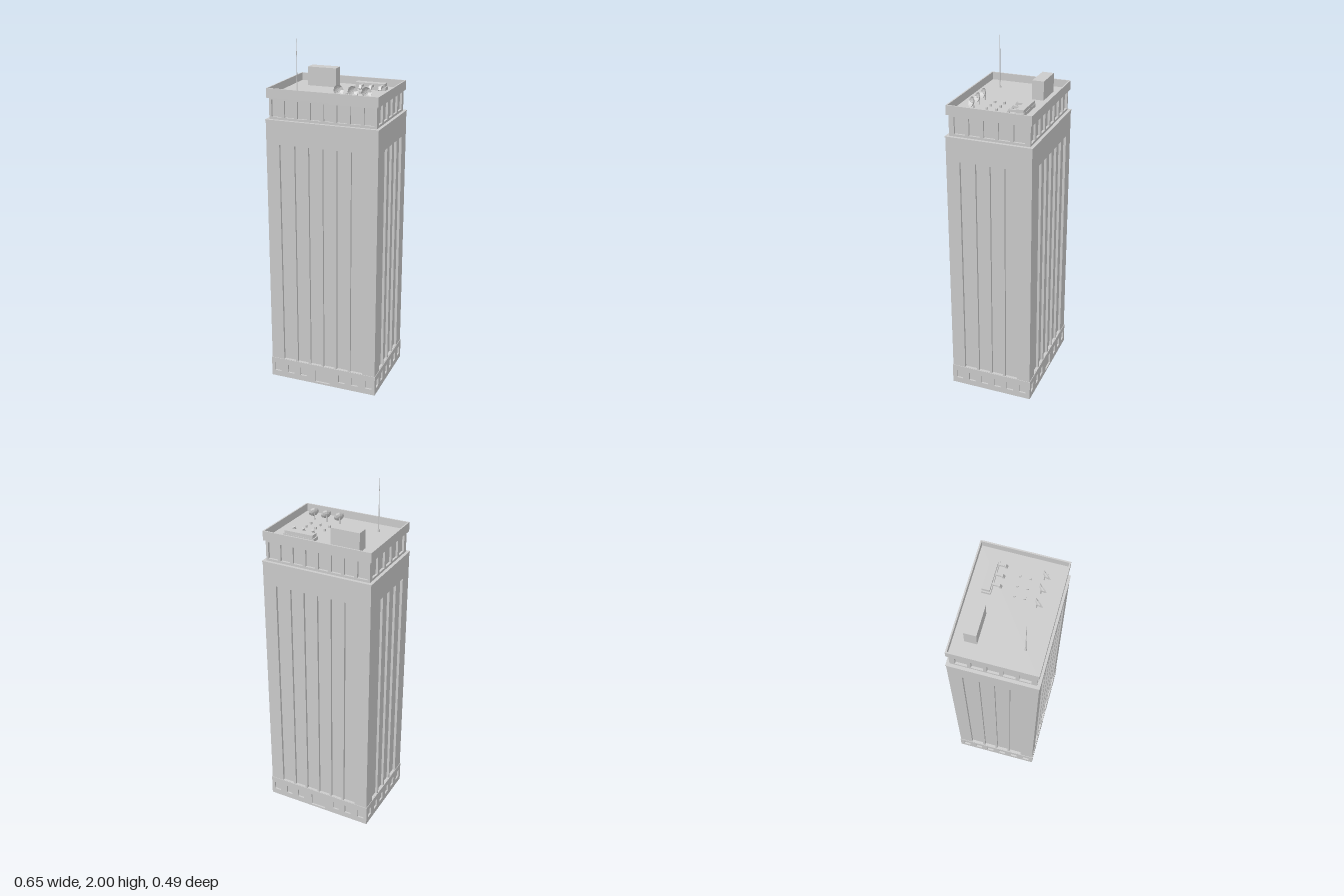
import * as THREE from 'three';

const mat = new THREE.MeshStandardMaterial({ color: 0xcccccc, flatShading: true, side: THREE.DoubleSide });

function add(parent, name, geo, x = 0, y = 0, z = 0) {
  const m = new THREE.Mesh(geo, mat);
  m.name = name;
  m.position.set(x, y, z);
  parent.add(m);
  return m;
}
// Box given by its bottom height
const box = (p, name, w, h, d, x, y, z) => add(p, name, new THREE.BoxGeometry(w, h, d), x, y + h / 2, z);

// Flat wall with rectangular holes [centre x, bottom y, width, height]
function wallGeometry(w, y0, y1, t, holes) {
  const rect = (C, x0, a, x1, b) => {
    const s = new C();
    s.moveTo(x0, a); s.lineTo(x1, a); s.lineTo(x1, b); s.lineTo(x0, b); s.closePath();
    return s;
  };
  const shape = rect(THREE.Shape, -w / 2, y0, w / 2, y1);
  for (const [x, y, hw, hh] of holes) shape.holes.push(rect(THREE.Path, x - hw / 2, y, x + hw / 2, y + hh));
  return new THREE.ExtrudeGeometry(shape, { depth: t, bevelEnabled: false });
}

// Four walls round a rectangle; the side walls fit between front and back
function ring(parent, name, hx, hz, y0, y1, t, frontHoles = [], sideHoles = []) {
  const g = new THREE.Group();
  g.name = name;
  parent.add(g);
  for (let i = 0; i < 4; i++) {
    const side = i % 2 === 1;
    const w = side ? 2 * (hz - t) : 2 * hx;
    const face = new THREE.Group();
    face.rotation.y = i * Math.PI / 2;
    add(face, name + 'Wall', wallGeometry(w, y0, y1, t, side ? sideHoles : frontHoles), 0, 0, (side ? hx : hz) - t);
    g.add(face);
  }
  return g;
}

// n evenly spaced positions centred on zero
const spread = (n, step) => Array.from({ length: n }, (_, i) => (i - (n - 1) / 2) * step);

export function createModel() {
  const model = new THREE.Group();
  model.name = 'officeTower';

  // Hollow ground floor with small windows and a door front and back
  const win = x => [x, 0.035, 0.04, 0.05];
  const frontWins = [-0.285, -0.2, -0.12, 0.12, 0.2, 0.285].map(win);
  frontWins.push([0, 0.012, 0.09, 0.075]);
  ring(model, 'groundFloor', 0.325, 0.245, 0, 0.12, 0.01, frontWins, spread(6, 0.08).map(win));
  ring(model, 'groundFloorGlazing', 0.315, 0.235, 0.002, 0.112, 0.004);

  // Shaft: recessed core, framed facades and vertical ribs
  box(model, 'shaftCore', 0.614, 1.46, 0.454, 0, 0.112, 0);
  ring(model, 'shaftFacade', 0.322, 0.242, 0.12, 1.57, 0.015,
    [[0, 0.121, 0.49, 1.319]], [[0, 0.121, 0.33, 1.319]]);
  box(model, 'shaftLedge', 0.65, 0.006, 0.49, 0, 1.569, 0);
  for (const s of [-1, 1]) {
    for (const x of spread(5, 0.0817)) box(model, 'rib', 0.014, 1.32, 0.014, x, 0.12, s * 0.234);
    for (const z of spread(3, 0.0825)) box(model, 'rib', 0.014, 1.32, 0.014, s * 0.314, 0.12, z);
  }

  // Top floor with a row of tall recessed windows
  box(model, 'topFloorCore', 0.586, 0.12, 0.426, 0, 1.574, 0);
  const tall = x => [x, 1.588, 0.058, 0.094];
  ring(model, 'topFloor', 0.307, 0.227, 1.575, 1.697, 0.012,
    spread(8, 0.0755).map(tall), spread(5, 0.083).map(x => [x, 1.588, 0.064, 0.094]));

  // Roof deck and parapet
  box(model, 'roofDeck', 0.618, 0.01, 0.458, 0, 1.692, 0);
  ring(model, 'parapet', 0.317, 0.237, 1.692, 1.745, 0.008);

  const deck = 1.702;
  const roof = new THREE.Group();
  roof.name = 'roofEquipment';
  roof.position.y = deck;
  model.add(roof);

  box(roof, 'penthouse', 0.168, 0.106, 0.066, -0.135, 0, -0.137);

  // Cooling unit with three bent ducts
  box(roof, 'coolingUnitBase', 0.184, 0.018, 0.05, 0.145, 0, -0.137);
  box(roof, 'coolingUnitTop', 0.17, 0.018, 0.042, 0.145, 0.018, -0.139);
  for (const x of [0.105, 0.162, 0.219]) {
    box(roof, 'duct', 0.014, 0.012, 0.034, x, 0.018, -0.1);
    const elbow = box(roof, 'ductOutlet', 0.015, 0.022, 0.012, x, 0.008, -0.076);
    elbow.rotation.x = -0.5;
  }

  // Small vents
  for (const x of [0.077, 0.134, 0.191])
    for (const z of [0.005, 0.06]) box(roof, 'vent', 0.011, 0.013, 0.011, x, 0, z);

  // Dish aerials turned to the front corner
  const bowl = [[0, -0.009], [0.014, -0.006], [0.024, 0], [0.03, 0.007]].map(p => new THREE.Vector2(...p));
  for (const x of [0.055, 0.135, 0.212]) {
    const g = new THREE.Group();
    g.name = 'dish';
    g.position.set(x, 0, 0.133);
    g.rotation.y = Math.PI / 4;
    add(g, 'dishStand', new THREE.CylinderGeometry(0.003, 0.004, 0.038, 6), 0, 0.019, -0.008);
    const dish = add(g, 'dishBowl', new THREE.LatheGeometry(bowl, 8), 0, 0.038, 0);
    dish.rotation.x = 1.2;
    add(dish, 'dishFeed', new THREE.CylinderGeometry(0.001, 0.001, 0.022, 4), 0, 0.002, 0);
    roof.add(g);
  }

  // Mast
  add(roof, 'mastFoot', new THREE.CylinderGeometry(0.005, 0.008, 0.014, 6), -0.182, 0.007, 0.133);
  add(roof, 'mast', new THREE.CylinderGeometry(0.001, 0.003, 2 - deck, 6), -0.182, (2 - deck) / 2, 0.133);

  return model;
}
